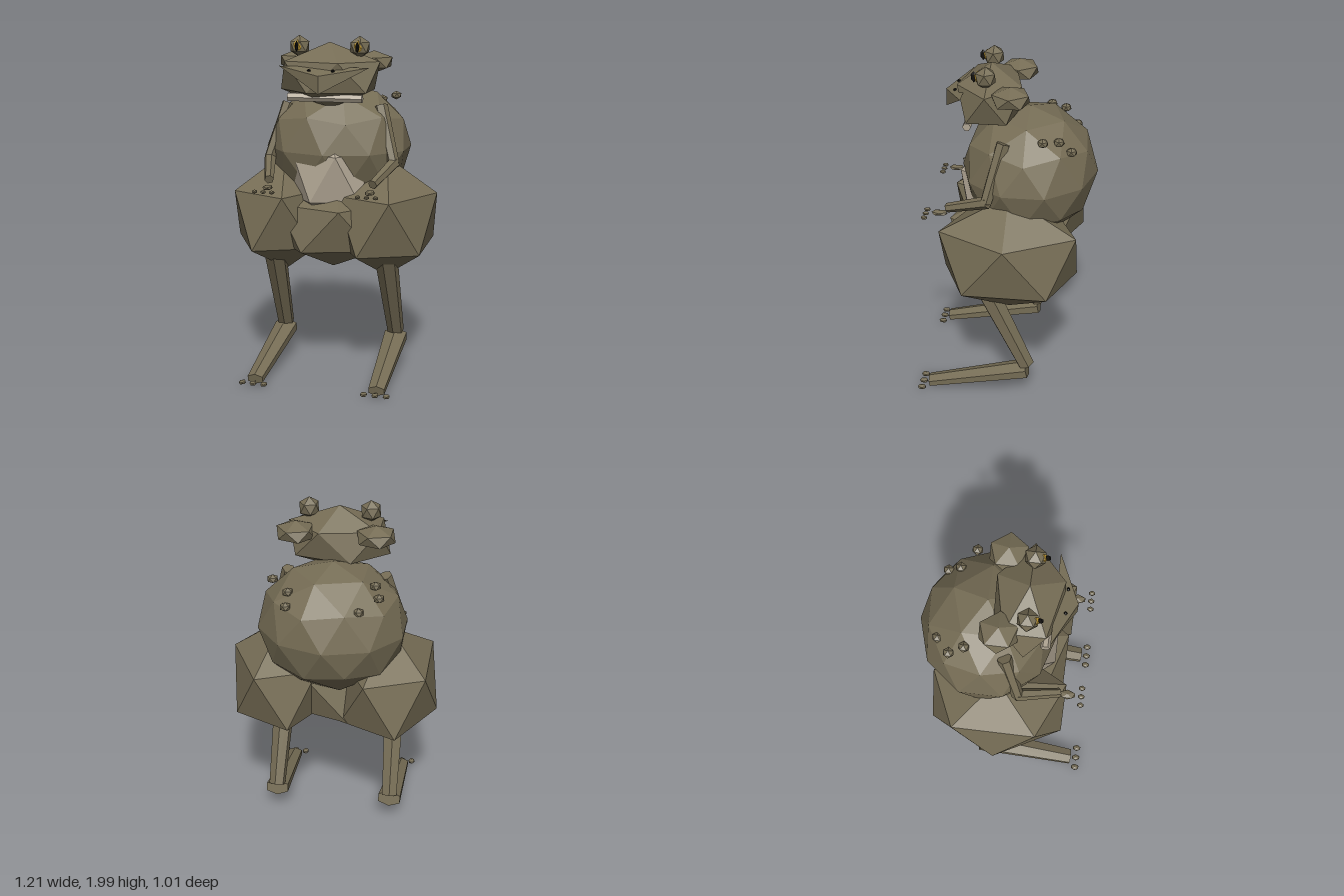
import * as THREE from 'three';

const skin = new THREE.MeshStandardMaterial({ color: 0x766d55 });
skin.name = 'oliveSkin';
const pale = new THREE.MeshStandardMaterial({ color: 0xb0a593 });
pale.name = 'paleBelly';
const gold = new THREE.MeshStandardMaterial({ color: 0xb8922e });
gold.name = 'goldIris';
const black = new THREE.MeshStandardMaterial({ color: 0x12110f });
black.name = 'blackPupil';

// Unit icosahedron with its poles on the y axis
const icoVerts = [0, 1, 0, 0, -1, 0];
const icoFaces = [];
for (const [y, turn] of [[0.4472, 0], [-0.4472, Math.PI / 5]]) {
  for (let i = 0; i < 5; i++) {
    const a = (i * 2 * Math.PI) / 5 + turn;
    icoVerts.push(0.8944 * Math.cos(a), y, 0.8944 * Math.sin(a));
  }
}
for (let i = 0; i < 5; i++) {
  const j = (i + 1) % 5;
  const [u, v, l, m] = [2 + i, 2 + j, 7 + i, 7 + j];
  icoFaces.push(0, v, u, 1, l, m, u, v, l, m, l, v);
}

function createFlat(geometry) {
  const g = geometry.index ? geometry.toNonIndexed() : geometry;
  g.computeVertexNormals();
  return g;
}

export function createModel() {
  const model = new THREE.Group();
  model.name = 'toad';

  function add(name, geometry, material) {
    const mesh = new THREE.Mesh(createFlat(geometry), material);
    mesh.name = name;
    model.add(mesh);
    return mesh;
  }

  // Faceted ellipsoid
  function blob(name, pos, radii, material = skin, detail = 0) {
    const g = new THREE.PolyhedronGeometry(icoVerts, icoFaces, 1, detail);
    g.scale(...radii);
    add(name, g, material).position.set(...pos);
  }

  // Six-sided tapered limb between two points
  function limb(name, from, to, r0, r1, material = skin, flatten = 1) {
    const a = new THREE.Vector3(...from);
    const b = new THREE.Vector3(...to);
    const dir = b.clone().sub(a);
    const g = new THREE.CylinderGeometry(r1, r0, dir.length(), 6);
    g.scale(1, 1, flatten);
    const mesh = add(name, g, material);
    mesh.position.copy(a).add(b).multiplyScalar(0.5);
    mesh.quaternion.setFromUnitVectors(new THREE.Vector3(0, 1, 0), dir.normalize());
  }

  // Torso
  blob('body', [0, 1.34, -0.12], [0.431, 0.38, 0.39], skin, 1);
  blob('pelvis', [0, 0.91, 0.02], [0.398, 0.275, 0.37]);
  blob('bellyPatch', [0, 1.2, 0.08], [0.27, 0.297, 0.225], pale);
  limb('throat', [-0.215, 1.66, 0.21], [0.215, 1.66, 0.21], 0.026, 0.024, pale);

  // Head and wedge-shaped mouth
  blob('head', [0, 1.775, 0.1], [0.325, 0.188, 0.212]);
  const mouth = new THREE.BufferGeometry();
  mouth.setAttribute('position', new THREE.Float32BufferAttribute([
    -0.26, 1.835, 0.235, 0.26, 1.835, 0.235, 0, 1.795, 0.357, 0, 1.695, 0.357], 3));
  mouth.setIndex([0, 2, 1, 0, 3, 2, 1, 2, 3, 0, 1, 3]);
  add('mouth', mouth, skin);

  for (const s of [-1, 1]) {
    const side = s > 0 ? 'left' : 'right';

    // Face details
    blob(side + 'Gland', [s * 0.225, 1.845, -0.035], [0.12, 0.065, 0.118]);
    blob(side + 'Eye', [s * 0.175, 1.937, 0.108], [0.063, 0.063, 0.063]);
    blob(side + 'Iris', [s * 0.175, 1.94, 0.148], [0.028, 0.036, 0.022], gold);
    blob(side + 'Pupil', [s * 0.175, 1.94, 0.172], [0.01, 0.032, 0.018], black);
    blob(side + 'Nostril', [s * 0.068, 1.818, 0.295], [0.011, 0.01, 0.01], black);

    // Arm, hand and fingers
    limb(side + 'UpperArm', [s * 0.275, 1.6, 0], [s * 0.37, 1.28, 0.085], 0.04, 0.034);
    limb(side + 'Forearm', [s * 0.37, 1.285, 0.075], [s * 0.3, 1.2, 0.315], 0.036, 0.027);
    blob(side + 'Hand', [s * 0.295, 1.163, 0.36], [0.03, 0.015, 0.052]);
    for (let i = -1; i <= 1; i++) {
      blob(side + 'Finger', [s * 0.295 + i * 0.05, 1.153, 0.44], [0.017, 0.011, 0.021]);
    }

    // Leg, foot and toes
    blob(side + 'Thigh', [s * 0.308, 0.94, -0.035], [0.332, 0.357, 0.453]);
    limb(side + 'Shin', [s * 0.335, 0.85, 0.16], [s * 0.35, 0.2, -0.145], 0.072, 0.05);
    limb(side + 'Foot', [s * 0.35, 0.172, -0.15], [s * 0.36, 0.04, 0.44], 0.077, 0.052, skin, 0.62);
    for (let i = -1; i <= 1; i++) {
      blob(side + 'Toe', [s * 0.36 + i * 0.065, 0.03, 0.48], [0.022, 0.013, 0.028]);
    }
  }

  // Warts across the back
  const warts = [[-0.25, 1.635, -0.22], [-0.28, 1.6, -0.3], [-0.18, 1.545, -0.375],
    [0.32, 1.635, -0.22], [0.22, 1.6, -0.3], [0.22, 1.545, -0.37]];
  for (const p of warts) blob('wart', p, [0.033, 0.026, 0.033]);

  return model;
}
